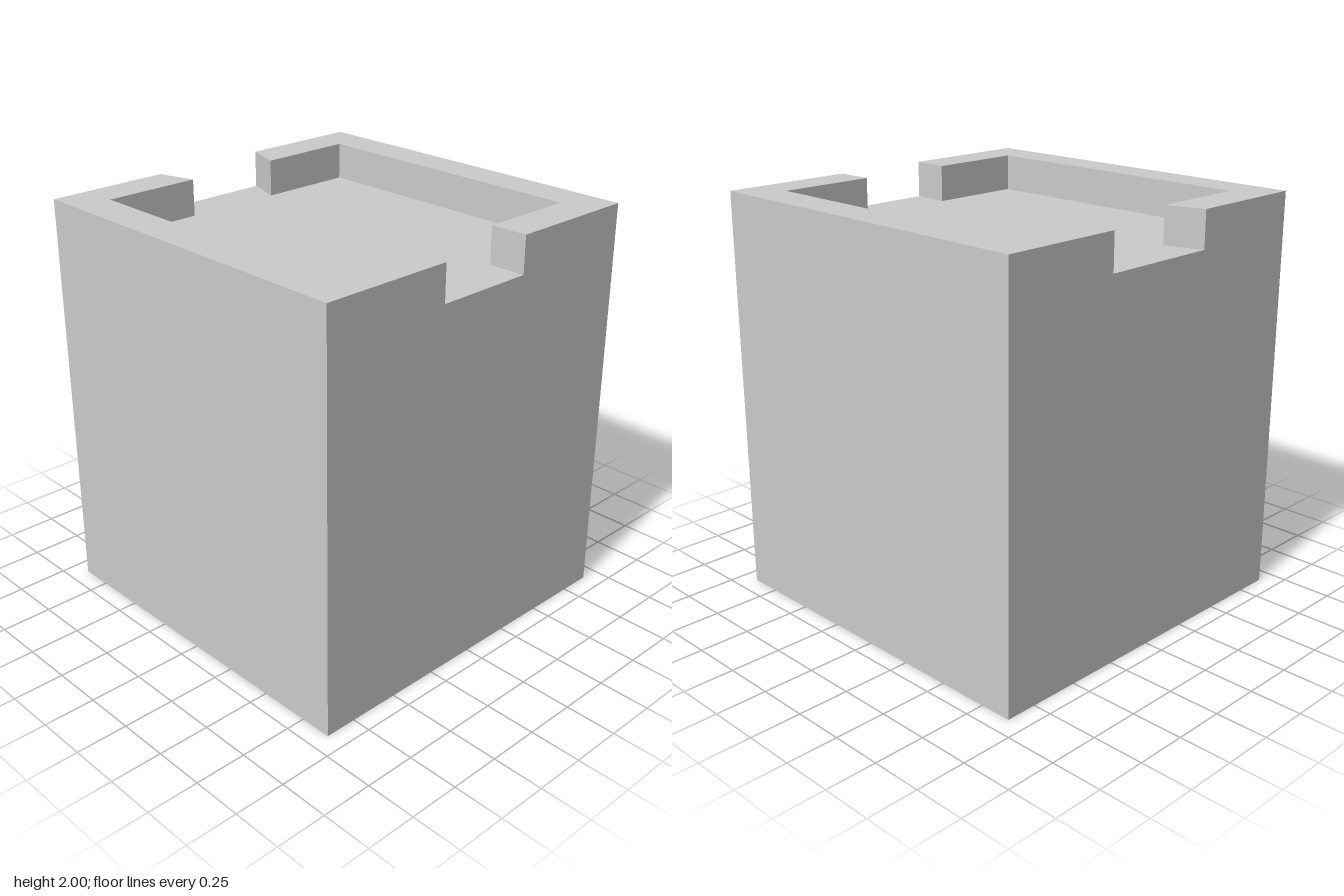
import * as THREE from 'three';

const HALF = 0.908;      // half width of the block
const INNER = 0.725;     // inner face of the parapet
const DECK = 1.82;       // height of the roof deck
const TOP = 2;

export function createModel() {
  const group = new THREE.Group();
  const material = new THREE.MeshStandardMaterial({ color: 0xcccccc, flatShading: true });

  // Solid block
  const block = new THREE.Mesh(new THREE.BoxGeometry(HALF * 2, DECK, HALF * 2), material);
  block.name = 'block';
  block.position.y = DECK / 2;
  group.add(block);

  // U-shaped parapets; the gap between them flares outward on the -x side
  const outline = [
    [-HALF, HALF], [-HALF, 0.303], [-INNER, 0.246], [-INNER, INNER],
    [INNER, INNER], [INNER, 0.246], [HALF, 0.25], [HALF, HALF],
  ];
  for (const [name, side] of [['frontParapet', -1], ['backParapet', 1]]) {
    const shape = new THREE.Shape(outline.map(([x, y]) => new THREE.Vector2(x, y * side)));
    const geometry = new THREE.ExtrudeGeometry(shape, { depth: TOP - DECK, bevelEnabled: false });
    geometry.rotateX(-Math.PI / 2);
    const parapet = new THREE.Mesh(geometry, material);
    parapet.name = name;
    parapet.position.y = DECK;
    group.add(parapet);
  }
  return group;
}
